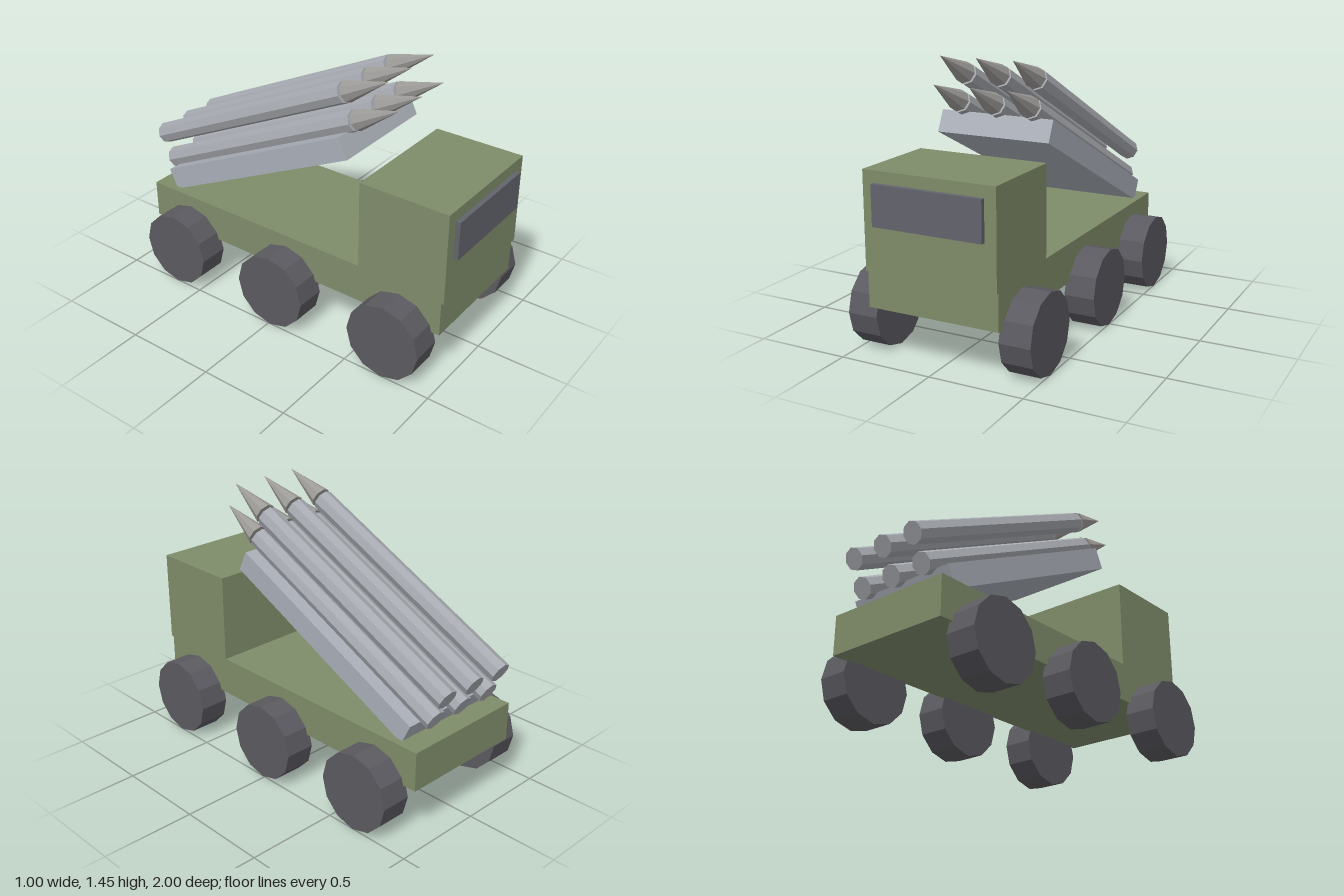
import * as THREE from 'three';

const material = (color) => new THREE.MeshStandardMaterial({ color, flatShading: true });

export function createModel() {
  const model = new THREE.Group();
  model.name = 'missileTruck';
  const green = material(0x7f8c6a);
  const rubber = material(0x5a5a60);
  const glass = material(0x62646c);
  const steel = material(0xa9afb8);
  const tube = material(0xa6a9af);
  const tip = material(0x9d9b98);

  function add(parent, name, geometry, mat, x, y, z) {
    const mesh = new THREE.Mesh(geometry, mat);
    mesh.name = name;
    mesh.position.set(x, y, z);
    parent.add(mesh);
    return mesh;
  }

  // Truck body
  add(model, 'chassis', new THREE.BoxGeometry(0.71, 0.21, 1.89), green, 0, 0.38, 0.015);
  add(model, 'cab', new THREE.BoxGeometry(0.712, 0.5, 0.5), green, 0, 0.715, 0.725);
  add(model, 'windshield', new THREE.BoxGeometry(0.59, 0.207, 0.05), glass, 0, 0.801, 0.975);

  // Three axles of twelve-sided wheels
  const wheel = new THREE.CylinderGeometry(0.21, 0.21, 0.165, 12).rotateZ(Math.PI / 2);
  for (const z of [0.722, 0.012, -0.662]) {
    for (const side of [-1, 1]) {
      add(model, side > 0 ? 'leftWheel' : 'rightWheel', wheel, rubber, side * 0.42, 0.21, z);
    }
  }

  // Tilted launcher: local +z runs along the missiles
  const launcher = new THREE.Group();
  launcher.name = 'launcher';
  launcher.position.set(0, 0.807, -0.24);
  launcher.rotation.x = -0.45;
  model.add(launcher);
  add(launcher, 'launchRack', new THREE.BoxGeometry(0.63, 0.12, 1.3), steel, 0, 0, 0);

  // Two rows of three missiles, noses slightly apart from the bodies
  const r = 0.058, bodyLength = 1.385, noseLength = 0.262, rear = -0.697;
  const body = new THREE.CylinderGeometry(r, r, bodyLength, 8).rotateX(Math.PI / 2);
  const nose = new THREE.ConeGeometry(r, noseLength, 8).rotateX(Math.PI / 2);
  for (const y of [0.099, 0.247]) {
    for (const x of [-0.2, 0, 0.2]) {
      const missile = new THREE.Group();
      missile.name = 'missile';
      missile.position.set(x, y, rear);
      launcher.add(missile);
      add(missile, 'missileBody', body, tube, 0, 0, bodyLength / 2);
      add(missile, 'missileNose', nose, tip, 0, 0, bodyLength + 0.017 + noseLength / 2);
    }
  }
  return model;
}
